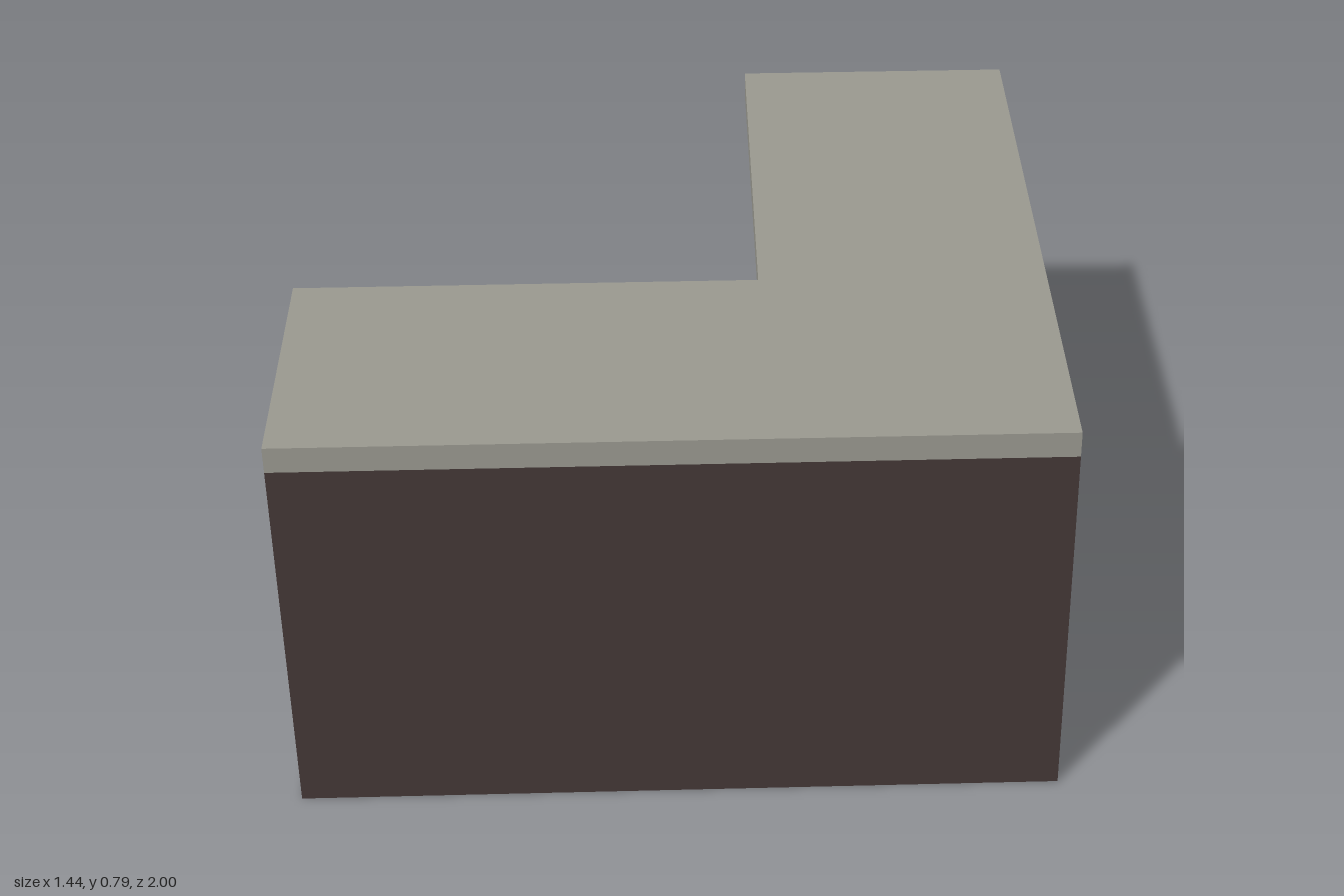
import * as THREE from 'three';

const LENGTH = 1.418, TOP_DEPTH = 0.545, BODY_DEPTH = 0.49;
const BODY_H = 0.735, TOP_H = 0.05;
const DOOR_W = 0.429, DOOR_H = 0.67, DOOR_Y = 0.37;

const stone = new THREE.MeshStandardMaterial({ name: 'grey stone', color: 0x9a9990 });
const darkWood = new THREE.MeshStandardMaterial({ name: 'dark wood', color: 0x443837 });
const wood = new THREE.MeshStandardMaterial({ name: 'brown wood', color: 0x8e6c50 });
const metal = new THREE.MeshStandardMaterial({ name: 'dark metal', color: 0x2e2520 });

function add(parent, name, geometry, material, x = 0, y = 0, z = 0) {
  const mesh = new THREE.Mesh(geometry, material);
  mesh.name = name;
  mesh.position.set(x, y, z);
  parent.add(mesh);
  return mesh;
}

// L-shaped slab with its outer corner at the origin, arms along -x and +z
function lSlab(depth, height) {
  const shape = new THREE.Shape([
    [0, 0], [-LENGTH, 0], [-LENGTH, -depth], [-depth, -depth], [-depth, -LENGTH], [0, -LENGTH],
  ].map(([x, y]) => new THREE.Vector2(x, y)));
  return new THREE.ExtrudeGeometry(shape, { depth: height, bevelEnabled: false }).rotateX(-Math.PI / 2);
}

// Rectangular moulding: each profile point is [inset from the edge, height off the cabinet]
function moulding(profile) {
  const loops = profile.map(([inset, z]) => {
    const x = DOOR_W / 2 - inset, y = DOOR_H / 2 - inset;
    return [[-x, -y, z], [x, -y, z], [x, y, z], [-x, y, z]];
  });
  const points = [];
  for (let k = 0; k < loops.length - 1; k++) {
    for (let i = 0; i < 4; i++) {
      const j = (i + 1) % 4;
      const a = loops[k][i], b = loops[k][j], c = loops[k + 1][j], d = loops[k + 1][i];
      points.push(...a, ...b, ...c, ...a, ...c, ...d);
    }
  }
  const geometry = new THREE.BufferGeometry();
  geometry.setAttribute('position', new THREE.Float32BufferAttribute(points, 3));
  geometry.computeVertexNormals();
  return geometry;
}

// Upright bar on two short posts
function handle() {
  const group = new THREE.Group();
  group.name = 'handle';
  add(group, 'handleBar', new THREE.BoxGeometry(0.012, 0.26, 0.012), metal, 0, 0, 0.039);
  for (const y of [-0.1, 0.1]) {
    add(group, 'handlePost', new THREE.BoxGeometry(0.01, 0.016, 0.034), metal, 0, y, 0.017);
  }
  return group;
}

// Pair of framed doors facing +z: the left one open-framed, the right one panelled
function doorPair() {
  const pair = new THREE.Group();
  pair.name = 'doorPair';
  const frame = moulding([[0, 0], [0, 0.022], [0.033, 0.022], [0.036, 0.017], [0.053, 0.005], [0.053, 0]]);
  for (const side of [-1, 1]) {
    const x = side * (DOOR_W / 2 + 0.004);
    add(pair, 'doorFrame', frame, wood, x, DOOR_Y, 0);
    if (side > 0) {
      add(pair, 'doorPanel', new THREE.BoxGeometry(DOOR_W - 0.104, DOOR_H - 0.104, 0.006), wood, x, DOOR_Y, 0.003);
    }
    const pull = handle();
    pull.position.set(side * 0.023, 0.375, 0.021);
    pair.add(pull);
  }
  return pair;
}

export function createModel() {
  const model = new THREE.Group();
  model.name = 'cornerCounter';

  // Everything is built square to the arms, then turned
  const counter = new THREE.Group();
  counter.name = 'counter';
  counter.position.set(0.716, 0, -0.089);
  counter.rotation.y = THREE.MathUtils.degToRad(-40);
  model.add(counter);

  add(counter, 'cabinetBody', lSlab(BODY_DEPTH, BODY_H), darkWood);
  add(counter, 'countertop', lSlab(TOP_DEPTH, TOP_H), stone, 0, BODY_H, 0);

  // One pair of doors on the inner face of each arm
  const middle = (LENGTH + BODY_DEPTH) / 2;
  const first = doorPair();
  first.position.set(-middle, 0, BODY_DEPTH);
  const second = doorPair();
  second.position.set(-BODY_DEPTH, 0, middle);
  second.rotation.y = -Math.PI / 2;
  counter.add(first, second);

  return model;
}
